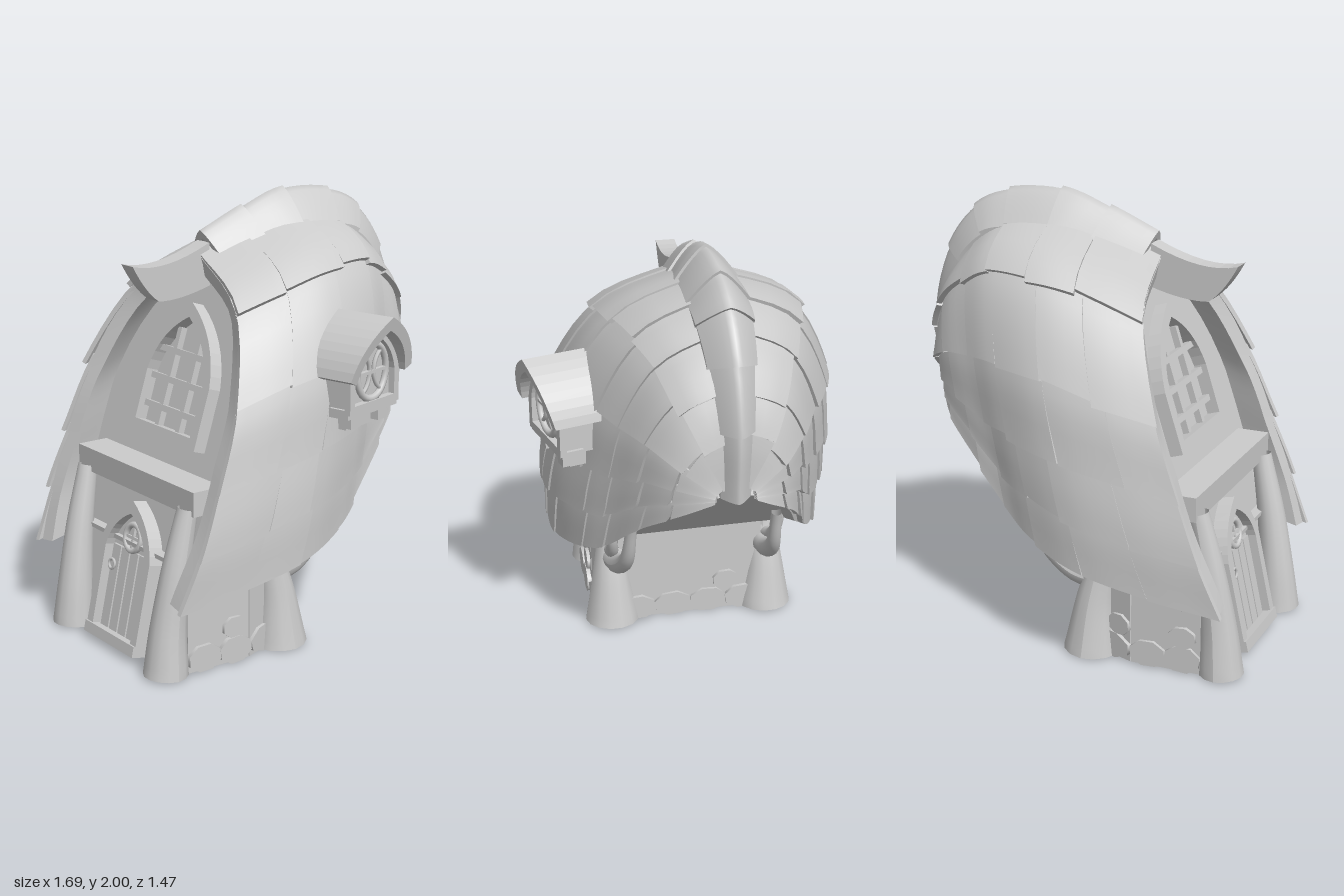
import * as THREE from 'three';
import { mergeGeometries } from 'three/addons/utils/BufferGeometryUtils.js';

const mat = new THREE.MeshStandardMaterial({ color: 0xcccccc, side: THREE.DoubleSide });
let seed = 7;
const rnd = () => (seed = (seed * 16807) % 2147483647) / 2147483647;

function add(parent, name, geo, x = 0, y = 0, z = 0) {
  const m = new THREE.Mesh(geo, mat);
  m.name = name;
  m.position.set(x, y, z);
  parent.add(m);
  return m;
}
const box = (w, h, d) => new THREE.BoxGeometry(w, h, d);

// Smooth interpolation through a list of numbers
function cr(a, t) {
  const n = a.length, i = Math.max(0, Math.min(Math.floor(t), n - 2));
  const f = t - i, p1 = a[i], p2 = a[i + 1];
  const p0 = i > 0 ? a[i - 1] : 2 * p1 - p2, p3 = i < n - 2 ? a[i + 2] : 2 * p2 - p1;
  return p1 + 0.5 * f * (p2 - p0 + f * (2 * p0 - 5 * p1 + 4 * p2 - p3 + f * (3 * (p1 - p2) + p3 - p0)));
}

// Roof shell: u runs from the facade to the tail, v from the ridge to the eave
const ridgeX = [-0.3, -0.06, 0.17, 0.42, 0.57, 0.69, 0.75, 0.755];
const ridgeY = [1.75, 1.83, 1.885, 1.87, 1.77, 1.61, 1.4, 1.14];
const eaveX = [-0.8, -0.5, -0.2, 0.05, 0.22, 0.43, 0.62, 0.75];
const eaveY = [0.36, 0.41, 0.47, 0.54, 0.63, 0.81, 0.96, 1.07];
const halfWidth = [0.6, 0.62, 0.605, 0.51, 0.415, 0.325, 0.215, 0.08];
const fall = [0, 0.14, 0.4, 0.63, 0.82, 1];
const spread = [0, 0.63, 0.94, 1, 1.01, 0.94];

function shell(u, v) {
  const f = cr(fall, v), tuck = 1 + 0.09 * Math.min(1, u / 4) * Math.max(0, v - 4);
  return new THREE.Vector3(
    THREE.MathUtils.lerp(cr(ridgeX, u), cr(eaveX, u), f),
    THREE.MathUtils.lerp(cr(ridgeY, u), cr(eaveY, u), f),
    cr(halfWidth, u) * cr(spread, v) * tuck);
}
function shellOffset(u, v, d) {
  const e = 0.02, uc = Math.min(u, 6.8), vc = Math.max(v, 0.03);
  const du = shell(uc + e, vc).sub(shell(uc - e, vc));
  const dv = shell(uc, vc + e).sub(shell(uc, vc - e));
  const p = shell(u, v).addScaledVector(dv.cross(du).normalize(), d);
  p.z = Math.max(p.z, 0);
  return p;
}
// Bend a box by a rule taking coordinates in 0..1
function bend(nu, nv, rule) {
  const g = new THREE.BoxGeometry(1, 1, 1, nu, 1, nv), p = g.attributes.position;
  for (let i = 0; i < p.count; i++) {
    const q = rule(p.getX(i) + 0.5, p.getY(i) + 0.5, p.getZ(i) + 0.5);
    p.setXYZ(i, q.x, q.y, q.z);
  }
  g.computeVertexNormals();
  return g;
}

// Tapered tube along a path
function taper(points, radii) {
  const c = new THREE.CatmullRomCurve3(points.map(p => new THREE.Vector3(...p)));
  const n = 16, sides = 14, g = new THREE.TubeGeometry(c, n, 1, sides), p = g.attributes.position;
  const v = new THREE.Vector3();
  for (let i = 0; i < p.count; i++) {
    const t = Math.floor(i / (sides + 1)) / n, o = c.getPointAt(t);
    v.fromBufferAttribute(p, i).sub(o).multiplyScalar(cr(radii, t * (radii.length - 1))).add(o);
    p.setXYZ(i, v.x, Math.max(v.y, 0), v.z);
  }
  g.computeVertexNormals();
  return g;
}

// Pointed arch outline, optionally with an arched opening
function arch(hw, base, spring, top, Type = THREE.Shape) {
  const s = new Type();
  s.moveTo(-hw, base);
  s.lineTo(hw, base);
  s.lineTo(hw, spring);
  s.quadraticCurveTo(hw * 0.85, spring + (top - spring) * 0.65, 0, top);
  s.quadraticCurveTo(-hw * 0.85, spring + (top - spring) * 0.65, -hw, spring);
  s.closePath();
  return s;
}
const solid = (s, depth) => new THREE.ExtrudeGeometry(s, { depth, bevelEnabled: false, curveSegments: 8 });
function archRing(hw, base, spring, top, t, depth) {
  const s = arch(hw, base, spring, top);
  s.holes.push(arch(hw - t, base + t, spring, top - t * 1.3, THREE.Path));
  return solid(s, depth);
}

function buildRoofHalf() {
  const half = new THREE.Group();
  add(half, 'roofShell', bend(35, 25, (a, b, c) => {
    const u = a * 7, v = c * 5, thick = 0.05 + 0.03 * Math.max(0, 1 - u);
    return shellOffset(u, v, (b - 1) * thick * Math.min(1, (7 - u) / 2 + 0.1));
  }));
  for (let r = 0; r < 5; r++) {
    const tiles = [], cuts = [0];
    for (let k = 1; k < 7; k++) cuts.push(k + (rnd() - 0.5) * 0.35 + (r === 0 ? 0.15 : 0));
    cuts.push(7);
    for (let k = 0; k < 7; k++) {
      const lift = rnd() * 0.012, drop = rnd() * 0.08, skew = (rnd() - 0.5) * 0.1;
      tiles.push(bend(5, 5, (a, b, c) => {
        const u = cuts[k] + 0.008 + a * (cuts[k + 1] - cuts[k] - 0.02) - 0.06 * c * (k < 6 && r > 0 ? 1 : 0);
        const start = Math.max(r - 0.03, 0), end = r < 4 ? r + 1.03 + drop + skew * a : 5;
        const thin = k > 5 ? 1 - a * 0.6 : 1;
        return shellOffset(u, start + c * (end - start), (0.008 + c * (0.022 + lift) + a * 0.008 + (b - 1) * 0.025) * thin);
      }));
    }
    add(half, 'shingleRow' + (r + 1), mergeGeometries(tiles));
  }
  return half;
}

function buildRidge(root) {
  const cx = [-0.28, -0.06, 0.17, 0.43, 0.61, 0.75, 0.825, 0.805];
  const cy = [1.84, 1.92, 1.985, 1.965, 1.88, 1.69, 1.41, 1.1];
  const cw = [0.13, 0.135, 0.135, 0.13, 0.12, 0.1, 0.08, 0.06];
  for (let k = 0; k < 7; k++) {
    add(root, 'ridgeCap', bend(5, 10, (a, b, c) => {
      const u = k + a * 1.04, s = c * 2 - 1, e = 0.03, w = cr(cw, u);
      const tx = cr(cx, u + e) - cr(cx, u - e), ty = cr(cy, u + e) - cr(cy, u - e), l = Math.hypot(tx, ty);
      const d = a * 0.014 - 1.12 * w * Math.abs(s) ** 1.35 + (b - 1) * 0.04;
      return new THREE.Vector3(cr(cx, u) - ty / l * d, cr(cy, u) + tx / l * d, s * (w + a * 0.006));
    }));
  }
  // Upturned finial over the facade
  const s = new THREE.Shape();
  s.moveTo(-0.66, 1.725);
  s.quadraticCurveTo(-0.5, 1.68, -0.26, 1.79);
  s.lineTo(-0.26, 1.6);
  s.quadraticCurveTo(-0.42, 1.55, -0.53, 1.56);
  s.quadraticCurveTo(-0.6, 1.61, -0.66, 1.725);
  add(root, 'finial', solid(s, 0.09), 0, 0, -0.045);
}

function buildFacade(root) {
  const wall = new THREE.Group();
  wall.name = 'upperFacade';
  wall.position.set(-0.49, 0.8, 0);
  wall.rotation.set(-0.31, -Math.PI / 2, 0, 'YXZ');
  root.add(wall);
  add(wall, 'gableWall', solid(arch(0.55, -0.32, 0.25, 0.98), 0.04), 0, 0, -0.04);
  add(wall, 'gableWindowFrame', archRing(0.265, 0.12, 0.4, 0.74, 0.05, 0.06));
  for (const x of [-0.08, 0.08]) add(wall, 'gableMullion', box(0.028, 0.48, 0.03), x, 0.38, 0.02);
  for (const y of [0.25, 0.38, 0.51]) add(wall, 'gableGlazingBar', box(0.4, 0.028, 0.03), 0, y, 0.025);
  add(root, 'crossBeam', box(0.15, 0.11, 0.92), -0.575, 0.77, 0);

  // Door wall leans back with the facade
  const door = new THREE.Group();
  door.name = 'doorway';
  door.position.set(-0.73, 0.01, 0);
  door.rotation.set(-0.22, -Math.PI / 2, 0, 'YXZ');
  root.add(door);
  add(door, 'doorWall', box(0.84, 0.76, 0.03), 0, 0.38, -0.015);
  add(door, 'doorFrame', archRing(0.2, 0, 0.42, 0.66, 0.045, 0.07));
  add(door, 'doorPanel', solid(arch(0.16, 0.03, 0.42, 0.61), 0.025));
  add(door, 'threshold', box(0.4, 0.05, 0.08), 0, 0.025, 0.04);
  for (const x of [-0.105, -0.035, 0.035, 0.105]) add(door, 'doorPlank', box(0.06, 0.38, 0.02), x, 0.24, 0.03);
  add(door, 'doorWindowRing', new THREE.TorusGeometry(0.06, 0.014, 8, 24), 0, 0.49, 0.035);
  add(door, 'doorWindowBar', box(0.11, 0.012, 0.012), 0, 0.49, 0.035);
  add(door, 'doorWindowBar', box(0.012, 0.11, 0.012), 0, 0.49, 0.035);
  add(door, 'doorHandle', new THREE.TorusGeometry(0.022, 0.007, 6, 14), -0.11, 0.34, 0.05);
}

function buildGroundFloor(root) {
  // Plan with chamfered rear corners, open underneath
  const plan = [[-0.67, 0.42], [-0.35, 0.43], [-0.12, 0.35], [-0.12, -0.35], [-0.35, -0.43], [-0.67, -0.42]];
  for (let i = 0; i < 5; i++) {
    const [x, z] = plan[i], [x2, z2] = plan[i + 1], len = Math.hypot(x2 - x, z2 - z);
    const turn = -Math.atan2(z2 - z, x2 - x);
    add(root, 'groundWall', box(len, 0.48, 0.03), (x + x2) / 2, 0.24, (z + z2) / 2).rotation.y = turn;
    // Fitted foundation stones, with one odd stone above the course
    const n = Math.round(len / 0.18);
    for (let k = 0; k <= n; k++) {
      const high = k === n, t = high ? 0.75 : (k + 0.5) / n;
      const geo = new THREE.CylinderGeometry(1, 1, 1, 8).rotateX(Math.PI / 2).rotateZ(0.39 + (rnd() - 0.5) * 0.3);
      const s = add(root, 'foundationStone', geo, x + (x2 - x) * t, high ? 0.165 : 0.06, z + (z2 - z) * t);
      s.scale.set(high ? 0.065 : 0.54 * len / n, high ? 0.05 : 0.06 + rnd() * 0.006, 0.055 + rnd() * 0.015);
      s.rotation.y = turn;
    }
  }
  const floor = new THREE.Shape(plan.map(([x, z]) => new THREE.Vector2(x, -z)));
  add(root, 'upperFloor', solid(floor, 0.02).rotateX(-Math.PI / 2), 0, 0.46, 0);

  // Sloping belly closing the rooms under the tail
  const outline = [[-0.4, 0], [0.4, 0], [0.39, 0.35], [0.28, 0.72], [0.14, 0.91], [0, 0.97], [-0.14, 0.91], [-0.28, 0.72], [-0.39, 0.35]];
  const belly = add(root, 'belly', solid(new THREE.Shape(outline.map(p => new THREE.Vector2(...p))), 0.03), -0.13, 0.48, 0);
  belly.rotation.set(0.92, Math.PI / 2, 0, 'YXZ');
}

function buildSupports() {
  const g = new THREE.Group();
  add(g, 'frontPillar', taper([[-0.75, 0, 0.38], [-0.735, 0.2, 0.38], [-0.7, 0.45, 0.39], [-0.64, 0.74, 0.4]], [0.1, 0.078, 0.062, 0.045]));
  add(g, 'rearPillar', taper([[-0.135, 0, 0.38], [-0.15, 0.22, 0.38], [-0.185, 0.45, 0.37], [-0.18, 0.66, 0.36]], [0.13, 0.092, 0.066, 0.05]));
  add(g, 'frontBrace', taper([[-0.68, 0.26, 0.4], [-0.61, 0.27, 0.41], [-0.54, 0.34, 0.42], [-0.5, 0.46, 0.44]], [0.025, 0.025, 0.022, 0.02]));
  add(g, 'rearBrace', taper([[-0.15, 0.34, 0.37], [-0.03, 0.36, 0.365], [0.12, 0.47, 0.35], [0.2, 0.68, 0.34]], [0.06, 0.045, 0.032, 0.025]));
  add(g, 'innerBrace', taper([[-0.14, 0.38, 0.38], [-0.05, 0.42, 0.39], [0.01, 0.51, 0.4], [0.03, 0.62, 0.41]], [0.035, 0.03, 0.025, 0.022]));
  return g;
}

function buildDormer(root) {
  const d = new THREE.Group();
  d.name = 'dormerWindow';
  d.position.set(0.125, 1.1, 0.68);
  d.rotation.y = 0.24;
  root.add(d);
  add(d, 'dormerBody', solid(arch(0.165, 0.02, 0.17, 0.37), 0.22), 0, 0, -0.22);
  add(d, 'dormerFrame', archRing(0.18, 0.02, 0.17, 0.39, 0.035, 0.03));
  // Hood whose peak reaches further out than its eaves
  const s = new THREE.Shape();
  s.moveTo(-0.225, 0.18);
  s.quadraticCurveTo(-0.19, 0.34, 0, 0.43);
  s.quadraticCurveTo(0.19, 0.34, 0.225, 0.18);
  s.lineTo(0.18, 0.16);
  s.quadraticCurveTo(0.15, 0.3, 0, 0.37);
  s.quadraticCurveTo(-0.15, 0.3, -0.18, 0.16);
  const hood = solid(s, 0.3), p = hood.attributes.position;
  for (let i = 0; i < p.count; i++) if (p.getZ(i) > 0.1) p.setZ(i, 0.3 + (p.getY(i) - 0.16) * 0.22);
  hood.computeVertexNormals();
  add(d, 'dormerHood', hood, 0, 0, -0.24);
  // Oval glazing with two curved bars
  add(d, 'glazingRing', new THREE.TorusGeometry(0.105, 0.015, 8, 28), 0, 0.18, 0.01).scale.y = 1.15;
  for (const side of [-1, 1]) {
    const c = add(d, 'glazingCurve', new THREE.TorusGeometry(0.1, 0.01, 6, 16, 2), side * 0.115, 0.18, 0.01);
    c.rotation.z = side > 0 ? Math.PI - 1 : -1;
    add(d, 'sillBracket', box(0.06, 0.07, 0.06), side * 0.1, -0.02, -0.03);
  }
  add(d, 'glazingBar', box(0.2, 0.014, 0.02), 0, 0.18, 0.01);
  add(d, 'sill', box(0.36, 0.04, 0.1), 0, 0.02, -0.03);
  add(d, 'sillApron', box(0.22, 0.08, 0.12), 0, -0.03, -0.1);
}

export function createModel() {
  const root = new THREE.Group();
  root.name = 'shellRoofHouse';
  const body = new THREE.Group();
  body.name = 'house';
  body.position.z = -0.07;
  root.add(body);
  for (const side of [1, -1]) {
    const roof = buildRoofHalf(), posts = buildSupports();
    roof.name = side > 0 ? 'roofLeft' : 'roofRight';
    posts.name = side > 0 ? 'supportsLeft' : 'supportsRight';
    roof.scale.z = posts.scale.z = side;
    body.add(roof, posts);
  }
  buildRidge(body);
  buildFacade(body);
  buildGroundFloor(body);
  buildDormer(body);
  return root;
}
